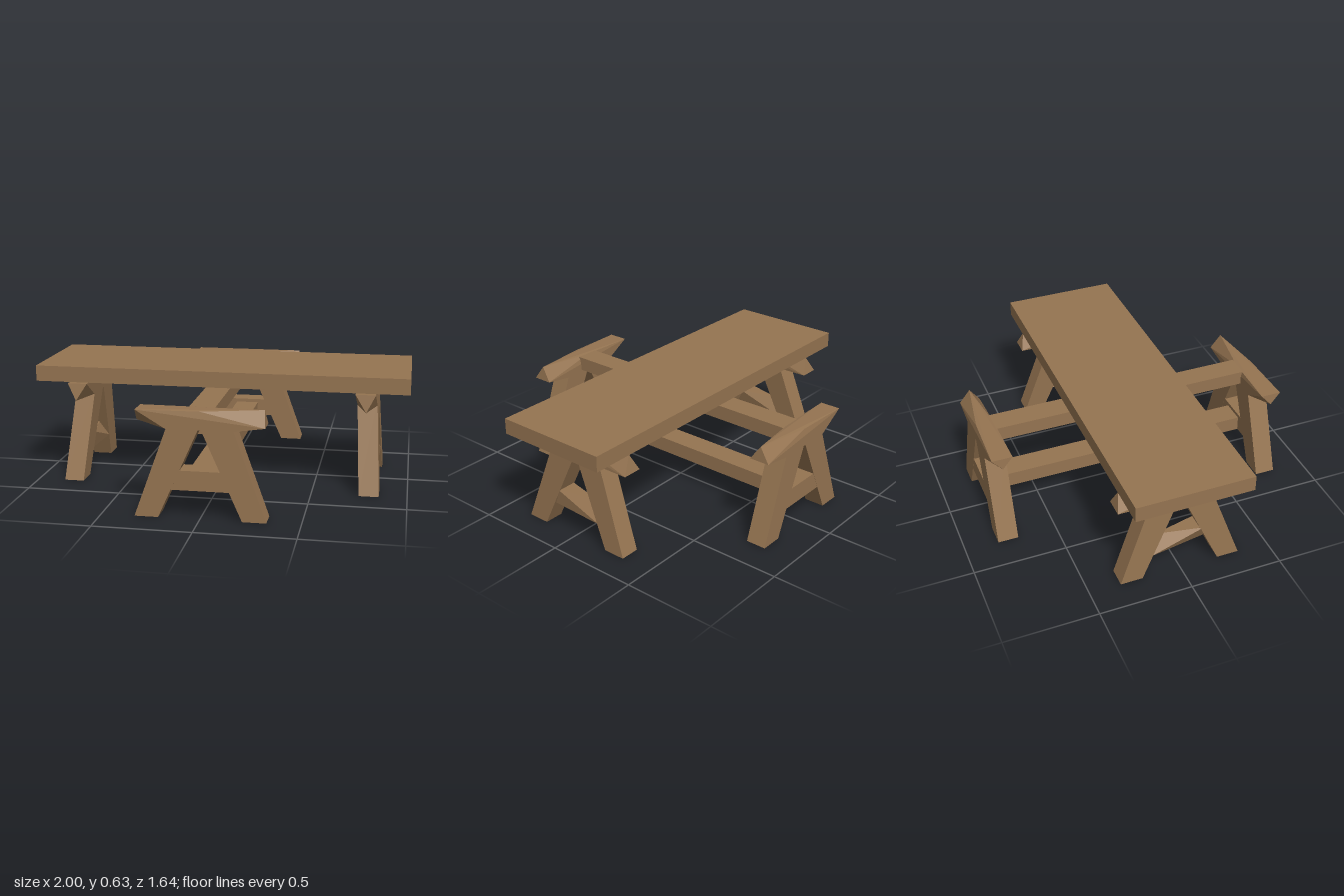
import * as THREE from 'three';
import { ConvexGeometry } from 'three/addons/geometries/ConvexGeometry.js';

const wood = new THREE.MeshStandardMaterial({ color: 0x957451 });
wood.name = 'wood';

function part(name, geometry, parent) {
  const mesh = new THREE.Mesh(geometry, wood);
  mesh.name = name;
  parent.add(mesh);
  return mesh;
}

function beam(name, x0, x1, y0, y1, z0, z1, parent) {
  const mesh = part(name, new THREE.BoxGeometry(x1 - x0, y1 - y0, z1 - z0), parent);
  mesh.position.set((x0 + x1) / 2, (y0 + y1) / 2, (z0 + z1) / 2);
}

const hull = (points) => new ConvexGeometry(points.map((p) => new THREE.Vector3(...p)));

// Lean a part outward towards its foot
function lean(geometry, amount) {
  const p = geometry.attributes.position;
  for (let i = 0; i < p.count; i++) p.setZ(i, p.getZ(i) + amount * (0.27 - p.getY(i)));
  geometry.computeVertexNormals();
  return geometry;
}

// A-shaped trestle lying in the local xy plane
function trestle(name, depth, slant, twistedBrace, parent) {
  const group = new THREE.Group();
  group.name = name;
  parent.add(group);
  const d = depth / 2;

  // Pair of splayed legs
  const legs = new THREE.Shape([
    [-0.33, 0.005], [-0.21, 0.005], [0, 0.475], [0.21, 0.005], [0.33, 0.005],
    [0.155, 0.49], [-0.155, 0.49],
  ].map((p) => new THREE.Vector2(...p)));
  const legGeometry = new THREE.ExtrudeGeometry(legs, { depth, bevelEnabled: false });
  legGeometry.translate(0, 0, -d);
  part('legs', lean(legGeometry, slant), group);

  // Hewn head: wide on top at one end, ridged at the other
  const head = [
    [-0.32, 0.547, d], [-0.32, 0.547, -d], [-0.325, 0.485, 0],
    [-0.17, 0.458, d], [-0.17, 0.458, -d], [0.17, 0.458, d], [0.17, 0.458, -d],
    [0.32, 0.48, d], [0.32, 0.48, -d], [0.31, 0.558, 0],
    [0, 0.548, d * 0.85], [0, 0.548, -d * 0.85],
  ];
  if (twistedBrace) {
    // Heads under the table reach lower at their ends and stay below its top
    for (const p of head) p[1] = Math.min(p[1], 0.552);
    head[2] = [-0.335, 0.455, 0];
    head[7] = [0.335, 0.46, d];
    head[8] = [0.335, 0.46, -d];
  }
  part('head', lean(hull(head), slant), group);

  // Cross brace between the legs
  const brace = twistedBrace
    ? [[-0.13, 0.23, d], [-0.13, 0.23, -d], [-0.16, 0.135, 0], [-0.16, 0.14, d * 0.8],
      [0.16, 0.135, d], [0.16, 0.135, -d], [0.12, 0.225, 0]]
    : [-1, 1].flatMap((s) => [-d, d].flatMap((z) => [
      [s * 0.12, 0.25, z * 0.98], [s * 0.165, 0.15, z * 0.98]]));
  part('brace', lean(hull(brace), slant), group);
  return group;
}

export function createModel() {
  const model = new THREE.Group();
  model.name = 'trestleTable';

  // Tabletop
  beam('tabletop', -1, 0.995, 0.552, 0.636, -0.315, 0.31, model);

  // Rails running across to the seats
  beam('upperRail', -0.07, 0.06, 0.472, 0.549, -0.75, 0.75, model);
  beam('lowerRail', -0.07, 0.06, 0.148, 0.23, -0.75, 0.75, model);

  // Table trestles and seat trestles
  for (const s of [-1, 1]) {
    const end = trestle(s < 0 ? 'rightTrestle' : 'leftTrestle', 0.105, s * 0.06, true, model);
    end.rotation.y = Math.PI / 2;
    end.position.x = s * 0.785;
    const seat = trestle(s < 0 ? 'backSeat' : 'frontSeat', 0.11, s * 0.012, false, model);
    seat.position.z = s * 0.763;
  }
  return model;
}
